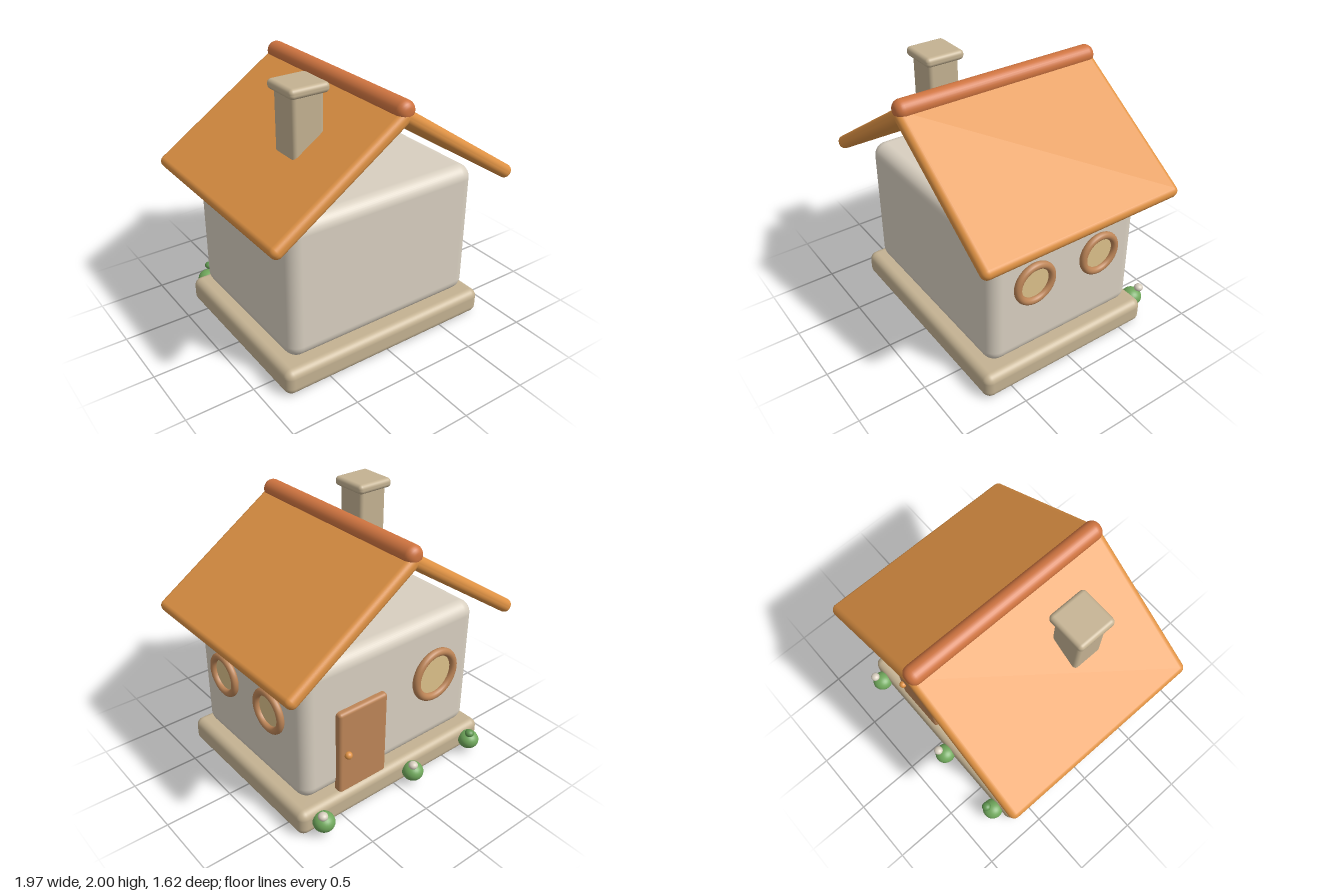
import * as THREE from 'three';
import { RoundedBoxGeometry } from 'three/addons/geometries/RoundedBoxGeometry.js';

const mat = (name, color) => {
  const m = new THREE.MeshStandardMaterial({ color });
  m.name = name;
  return m;
};

export function createModel() {
  const house = new THREE.Group();
  house.name = 'cottage';

  const plaster = mat('plaster', 0xd8cfc0);
  const stone = mat('stone', 0xc4b292);
  const tile = mat('orangeTile', 0xdf9244);
  const ridgeTile = mat('ridgeTile', 0xcf7440);
  const wood = mat('wood', 0xbd8557);
  const pane = mat('warmPane', 0xdcc08a);
  const leaf = mat('leaf', 0x70a85c);
  const bud = mat('bud', 0x5f9650);

  const add = (parent, name, geometry, material, x, y, z) => {
    const mesh = new THREE.Mesh(geometry, material);
    mesh.name = name;
    mesh.position.set(x, y, z);
    parent.add(mesh);
    return mesh;
  };
  const block = (w, h, d, r) => new RoundedBoxGeometry(w, h, d, 5, r);

  // Foundation and body
  add(house, 'foundation', block(1.72, 0.195, 1.41, 0.06), stone, 0, 0.0975, 0.015);
  add(house, 'walls', block(1.56, 1.04, 1.25, 0.1), plaster, 0, 0.72, 0.015);

  // Two roof slabs leaning on the ridge
  const pitch = 0.59;
  for (const side of [-1, 1]) {
    const slab = add(house, side > 0 ? 'leftRoofSlab' : 'rightRoofSlab',
      block(1.21, 0.098, 1.59, 0.045), tile, side * 0.474, 1.514, 0.015);
    slab.rotation.z = -side * pitch;
  }

  // Ridge roll with rounded ends
  const ridgeRadius = 0.069, fillet = 0.055, half = 0.795;
  const profile = [new THREE.Vector2(0, -half)];
  for (const end of [-1, 1]) {
    for (let i = 0; i <= 6; i++) {
      const a = (end < 0 ? i : 6 - i) / 6 * Math.PI / 2;
      profile.push(new THREE.Vector2(
        ridgeRadius - fillet + fillet * Math.sin(a),
        end * (half - fillet + fillet * Math.cos(a))));
    }
  }
  profile.push(new THREE.Vector2(0, half));
  const ridge = add(house, 'ridge', new THREE.LatheGeometry(profile, 32), ridgeTile, 0, 1.867, 0.015);
  ridge.rotation.x = Math.PI / 2;

  // Chimney
  add(house, 'chimneyStack', block(0.235, 0.54, 0.235, 0.03), stone, -0.432, 1.69, 0.245);
  add(house, 'chimneyCap', block(0.295, 0.07, 0.295, 0.03), stone, -0.432, 1.965, 0.245);

  // Round windows, facing +z before turning
  const addWindow = (name, radius, tube, x, y, z, turn) => {
    const g = new THREE.Group();
    g.name = name;
    g.position.set(x, y, z);
    g.rotation.y = turn;
    add(g, 'windowFrame', new THREE.TorusGeometry(radius, tube, 16, 48), wood, 0, 0, 0);
    add(g, 'windowPane', new THREE.CircleGeometry(radius, 48), pane, 0, 0, -0.005);
    house.add(g);
  };
  addWindow('sideWindowFront', 0.14, 0.027, 0.797, 0.795, 0.29, Math.PI / 2);
  addWindow('sideWindowBack', 0.14, 0.027, 0.797, 0.795, -0.26, Math.PI / 2);
  addWindow('rearWindow', 0.18, 0.03, -0.39, 0.78, -0.626, Math.PI);

  // Door and knob
  add(house, 'door', block(0.42, 0.675, 0.07, 0.025), wood, 0.295, 0.508, -0.621);
  add(house, 'doorKnob', new THREE.SphereGeometry(0.028, 20, 14), tile, 0.44, 0.495, -0.667);

  // Bushes along the back, each with a blossom or bud
  for (const [x, top] of [[0.705, plaster], [-0.116, plaster], [-0.705, bud]]) {
    const bush = add(house, 'bush', new THREE.SphereGeometry(1, 28, 18), leaf, x, 0.105, -0.732);
    bush.scale.set(0.078, 0.069, 0.08);
    const blossom = add(house, top === bud ? 'bud' : 'blossom',
      new THREE.SphereGeometry(1, 20, 14), top, x + 0.034, 0.197, -0.767);
    blossom.scale.set(0.035, 0.028, 0.035);
  }

  return house;
}
